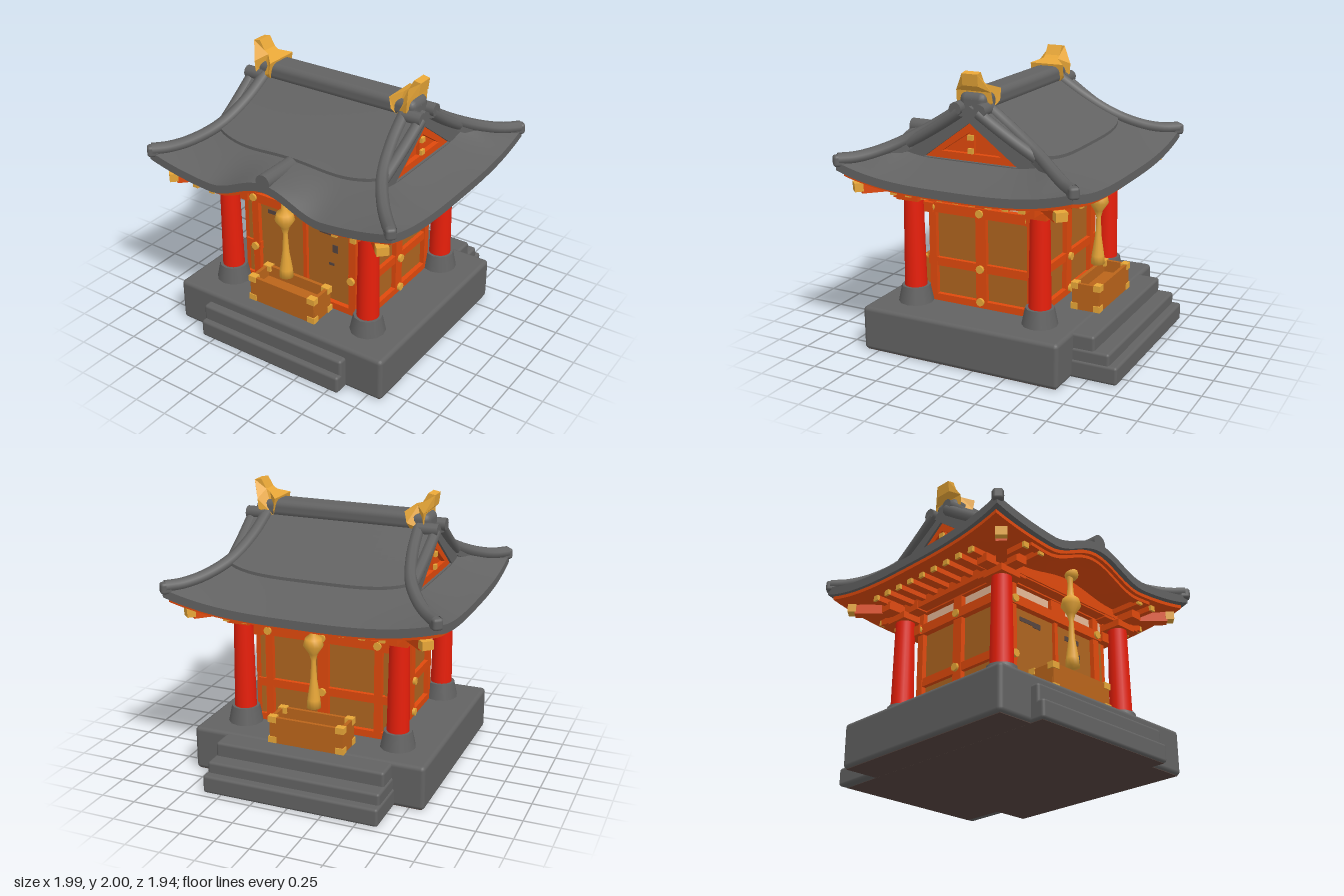
import * as THREE from 'three';
import { mergeGeometries } from 'three/addons/utils/BufferGeometryUtils.js';
import { RoundedBoxGeometry } from 'three/addons/geometries/RoundedBoxGeometry.js';

const mat = (name, color) => {
  const m = new THREE.MeshStandardMaterial({ color, side: THREE.DoubleSide });
  m.name = name;
  return m;
};
const grey = mat('slate grey', 0x626262);
const red = mat('post red', 0xf8220c);
const orange = mat('timber orange', 0xdf490c);
const brown = mat('panel brown', 0xae641f);
const boxWood = mat('box wood', 0xba641a);
const dark = mat('dark brown', 0x564540);
const gold = mat('gold', 0xeaa838);
const cream = mat('plaster cream', 0xe8ba98);

const ZC = 0.085; // depth of the roof ridge
const clamp = (v) => Math.min(1, Math.max(0, v));
const smooth = (a, b, v) => { const k = clamp((v - a) / (b - a)); return k * k * (3 - 2 * k); };

function add(parent, name, geo, material, x = 0, y = 0, z = 0) {
  const m = new THREE.Mesh(geo, material);
  m.name = name;
  m.position.set(x, y, z);
  parent.add(m);
  return m;
}
const box = (p, name, m, w, h, d, x, y, z) => add(p, name, new THREE.BoxGeometry(w, h, d), m, x, y, z);
const block = (p, name, m, w, h, d, x, y, z, r = 0.02) => add(p, name, new RoundedBoxGeometry(w, h, d, 2, r), m, x, y, z);

// Curved sheet from f(u, v) -> [x, y, z]
function grid(f, nu, nv) {
  const pos = [], idx = [];
  for (let j = 0; j <= nv; j++) for (let i = 0; i <= nu; i++) pos.push(...f(i / nu, j / nv));
  for (let j = 0; j < nv; j++) for (let i = 0; i < nu; i++) {
    const a = j * (nu + 1) + i, b = a + nu + 1;
    idx.push(a, b, a + 1, a + 1, b, b + 1);
  }
  const g = new THREE.BufferGeometry();
  g.setAttribute('position', new THREE.Float32BufferAttribute(pos, 3));
  g.setIndex(idx);
  g.computeVertexNormals();
  return g;
}
// Sheet with thickness, measured downwards
function slab(f, th, nu, nv) {
  const low = (u, v, k) => { const [x, y, z] = f(u, v); return [x, y - th * k, z]; };
  return mergeGeometries([
    grid(f, nu, nv), grid((u, v) => low(u, v, 1), nu, nv),
    grid((u, k) => low(u, 0, k), nu, 1), grid((u, k) => low(u, 1, k), nu, 1),
    grid((v, k) => low(0, v, k), nv, 1), grid((v, k) => low(1, v, k), nv, 1),
  ]);
}
function tube(p, name, pts, r, m) {
  const curve = new THREE.CatmullRomCurve3(pts.map((q) => new THREE.Vector3(...q)));
  return add(p, name, new THREE.TubeGeometry(curve, 24, r, 8), m);
}
// Flat shape given as [x, y] points, with optional hole, extruded along z
function plate(pts, depth, hole) {
  const s = new THREE.Shape(pts.map((q) => new THREE.Vector2(...q)));
  if (hole) s.holes.push(new THREE.Path(hole.map((q) => new THREE.Vector2(...q))));
  return new THREE.ExtrudeGeometry(s, { depth, bevelEnabled: false });
}

// Roof rules: t runs 0 at the ridge to 1 at the eave
const zAt = (t, s) => ZC + s * t * (s > 0 ? 0.86 : 0.875);
const tAt = (z) => Math.abs(z - ZC) / (z > ZC ? 0.86 : 0.875);
const halfWidth = (t) => 0.65 + 0.32 * clamp((t - 0.35) / 0.65) ** 1.7;
const corner = (x, z) => 0.1 * Math.abs(x / 0.97) ** 3 * tAt(z) ** 3;
const hump = (x) => (Math.abs(x) < 0.46 ? 0.14 * Math.cos((Math.PI * x) / 0.92) ** 2 : 0);
const eaveLift = (x, z) => corner(x, z) + hump(x) * smooth(0.4, 0.9, z);
const roofY = (x, z) => {
  const t = tAt(z);
  return 1.8 - 0.62 * t + 0.1 * t * t + corner(x, z) + hump(x) * clamp((z - 0.58) / 0.35);
};

function buildBase(g) {
  block(g, 'plinth', grey, 1.72, 0.32, 1.5, 0, 0.16, 0.11, 0.03);
  block(g, 'frontStep', grey, 1.18, 0.24, 0.3, -0.01, 0.12, 0.77);
  block(g, 'frontStepLower', grey, 1.18, 0.13, 0.3, -0.01, 0.065, 0.81);
  [[0.31, 0.79], [0.21, 0.9], [0.13, 0.96]].forEach(([h, z], i) =>
    block(g, 'backStep' + (i + 1), grey, 1.24 + i * 0.02, h, z - 0.5, -0.01, h / 2, -(z + 0.5) / 2));
  // dark underside
  box(g, 'underside', dark, 1.68, 0.006, 1.46, 0, 0.001, 0.11);
  box(g, 'undersideSteps', dark, 1.15, 0.006, 1.88, -0.01, 0.0005, 0);
}

function buildPosts(g) {
  for (const x of [-0.58, 0.58]) for (const z of [0.59, -0.38]) {
    add(g, 'postFoot', new THREE.CylinderGeometry(0.1, 0.125, 0.12, 12), grey, x, 0.38, z);
    add(g, 'post', new THREE.CylinderGeometry(0.067, 0.079, 0.72, 20), red, x, 0.79, z);
    // stepped bracket and diagonal corner beam
    box(g, 'bracketLower', orange, 0.17, 0.05, 0.17, x, 1.1, z);
    box(g, 'bracketArmX', orange, 0.36, 0.06, 0.09, x, 1.15, z);
    box(g, 'bracketArmZ', orange, 0.09, 0.06, 0.36, x, 1.15, z);
    const sx = Math.sign(x), sz = z > 0 ? 1 : -1;
    const beam = new THREE.Group();
    beam.name = 'cornerBeam';
    beam.position.set(x, 1.17, z);
    beam.rotation.y = Math.atan2(sx, sz);
    box(beam, 'cornerTimber', orange, 0.07, 0.07, 0.38, 0, 0.01, 0.17);
    box(beam, 'cornerCap', gold, 0.08, 0.06, 0.06, 0, 0.02, 0.38);
    g.add(beam);
  }
  for (const z of [0.59, -0.38]) box(g, 'headBeam', orange, 1.2, 0.08, 0.08, 0, 1.17, z);
  for (const x of [-0.58, 0.58]) box(g, 'headBeam', orange, 0.08, 0.08, 1, x, 1.17, 0.1);
}

// One wall facing +z
function buildWall(name, width, posts, isDoor) {
  const g = new THREE.Group();
  g.name = name;
  box(g, 'panel', brown, width, 0.66, 0.03, 0, 0.66, -0.02);
  box(g, 'plasterBand', cream, width, 0.1, 0.03, 0, 1.09, -0.02);
  box(g, 'topRail', orange, width + 0.1, 0.07, 0.08, 0, 1.01, 0);
  box(g, 'upperRail', orange, width, 0.08, 0.06, 0, 1.175, 0);
  box(g, 'sill', orange, width, 0.05, 0.06, 0, 0.345, 0);
  const stud = (x, y) => add(g, 'stud', new THREE.CylinderGeometry(0.029, 0.029, 0.02, 8).rotateX(Math.PI / 2), gold, x, y, 0.045);
  for (const x of posts) {
    box(g, 'stile', orange, x ? 0.055 : 0.08, 0.86, 0.06, x, 0.75, 0);
    stud(x, 1.01);
  }
  if (isDoor) {
    box(g, 'doorSplit', orange, 0.03, 0.62, 0.04, 0.01, 0.67, 0);
    box(g, 'centreStrut', orange, 0.14, 0.1, 0.05, 0.03, 1.09, 0);
    for (const s of [-1, 1]) {
      box(g, 'shortRail', orange, 0.13, 0.06, 0.05, s * 0.44, 0.61, 0);
      stud(s * 0.41, 0.61);
    }
    // worn patches on the doors
    const wear = [[-0.25, 0.905, 0.14, 0.03], [-0.16, 0.9, 0.07, 0.04], [0.19, 0.905, 0.14, 0.035], [0.25, 0.79, 0.04, 0.06], [0.22, 0.66, 0.04, 0.02]];
    for (const [x, y, w, h] of wear) box(g, 'doorWear', dark, w, h, 0.006, x, y, -0.004);
  } else {
    box(g, 'midRail', orange, width, 0.06, 0.05, 0, 0.61, 0);
    for (const y of [0.61, 0.37]) stud(0, y);
  }
  return g;
}

function buildWalls(g) {
  const place = (wall, x, z, r) => { wall.position.set(x, 0, z); wall.rotation.y = r; g.add(wall); };
  place(buildWall('frontWall', 1, [-0.41, 0.41], true), 0, 0.5, 0);
  place(buildWall('backWall', 1, [-0.41, 0, 0.41], false), 0, -0.3, Math.PI);
  for (const s of [-1, 1]) place(buildWall('sideWall', 0.82, [-0.38, 0, 0.38], false), s * 0.49, 0.1, s * Math.PI / 2);
}

function buildEaves(g) {
  const soffit = (u, v) => {
    const x = -0.94 + 1.88 * u, z = -0.765 + 1.67 * v;
    return [x, 1.225 + eaveLift(x, z), z];
  };
  add(g, 'soffit', slab(soffit, 0.025, 32, 24), orange);
  // arched board and infill under the front curve
  const arch = (u, v) => { const x = -0.6 + 1.2 * u; return [x, 1.22 + eaveLift(x, 0.9), 0.83 + 0.05 * v]; };
  add(g, 'archBoard', slab(arch, 0.045, 32, 1), orange);
  const top = Array.from({ length: 17 }, (_, i) => { const x = 0.5 - i / 16; return [x, 1.22 + eaveLift(x, 0.64)]; });
  add(g, 'archInfill', plate([[-0.5, 1.14], [0.5, 1.14], ...top], 0.03), orange, 0, 0, 0.61);
  // rafters with gold tips
  const rafter = (x, z, r) => {
    const a = new THREE.Group();
    a.name = 'rafter';
    a.position.set(x, 1.185, z);
    a.rotation.y = r;
    box(a, 'rafterTimber', orange, 0.04, 0.04, 0.26, 0, 0, 0.13);
    box(a, 'rafterTip', gold, 0.042, 0.038, 0.02, 0, 0, 0.265);
    g.add(a);
  };
  for (let i = -4; i <= 4; i++) {
    for (const s of [-1, 1]) rafter(s * 0.58, 0.1 + i * 0.12, s * Math.PI / 2);
    rafter(i * 0.14, -0.4, Math.PI);
  }
  for (const s of [-1, 1]) for (const x of [0.5, 0.64]) rafter(s * x, 0.6, 0);
}

function buildRoof(g) {
  for (const s of [-1, 1]) {
    // lower and upper tile courses of the front or back slope
    const slope = (t1, rise) => (u, v) => {
      const t = t1 * v, z = zAt(t, s), x = (2 * u - 1) * halfWidth(t);
      return [x, roofY(x, z) + rise, z];
    };
    // the upper course ends in a shallow curve
    const upper = (u, v) => slope(0.65 - 0.1 * (2 * u - 1) ** 4, 0.022)(u, v);
    add(g, 'roofSlope', slab(slope(1, 0), 0.06, 40, 20), grey);
    add(g, 'upperTiles', slab(upper, 0.035, 24, 10), grey);

    // side skirt below the gable
    const skirt = (u, v) => {
      const z = -0.79 + 1.735 * u, t = tAt(z), w = halfWidth(t) - 0.02;
      const x = w + (0.97 - w) * v, yi = Math.min(1.43, roofY(w, z));
      const yo = 1.28 + corner(0.97, z);
      return [s * x, yi + (yo - yi) * (1.25 * v - 0.25 * v * v), z];
    };
    add(g, 'sideSkirt', slab(skirt, 0.06, 32, 6), grey);

    // gable: grey verge, timber frame, recessed panel
    const gable = new THREE.Group();
    gable.name = 'gable';
    gable.position.set(s * 0.6, 0, ZC);
    gable.rotation.y = s * Math.PI / 2;
    const tri = (w, base, apex) => [[-w, base], [w, base], [0, apex]];
    add(gable, 'verge', plate(tri(0.62, 1.4, 1.78), 0.08, tri(0.35, 1.41, 1.67)), grey);
    add(gable, 'gableFrame', plate(tri(0.36, 1.4, 1.675), 0.065, tri(0.22, 1.46, 1.61)), orange);
    add(gable, 'gablePanel', plate(tri(0.3, 1.41, 1.64), 0.03), orange);
    box(gable, 'gableStrut', orange, 0.04, 0.16, 0.03, 0, 1.53, 0.04);
    for (const y of [1.57, 1.48]) box(gable, 'gableStud', gold, 0.04, 0.035, 0.02, 0, y, 0.065);
    g.add(gable);

    for (const f of [-1, 1]) {
      // tile ridges running down to the corners, and along the verge
      const hip = [[0.565, 0.08], [0.59, 0.31], [0.655, 0.55], [0.77, 0.75], [0.875, 0.89], [0.955, 0.99]];
      const pts = hip.map(([x, t]) => [s * x, roofY(x, zAt(t, f)) + 0.02, zAt(t, f)]);
      tube(g, 'hipRidge', pts, 0.042, grey);
      const edge = [0.08, 0.25, 0.4, 0.55].map((t) => [s * (0.685 - 0.04 * t), roofY(0.68, zAt(t, f)) - 0.01, zAt(t, f)]);
      tube(g, 'vergeRidge', edge, 0.04, grey);
      const tip = block(g, 'cornerTile', grey, 0.07, 0.08, 0.08, s * 0.95, 1.385, zAt(0.985, f));
      tip.rotation.y = s * f * Math.PI / 4;
      const end = new THREE.CylinderGeometry(0.045, 0.045, 0.14, 10).rotateZ(Math.PI / 2);
      add(g, 'ridgeEndTile', end, grey, s * 0.64, 1.76, ZC + f * 0.09);
    }

    // gold ridge ornament: profile with an outward horn, its depth set by height
    const profile = [[0.51, 1.75], [0.6, 1.75], [0.61, 1.8], [0.615, 1.87], [0.66, 1.91], [0.67, 1.99],
      [0.62, 2], [0.58, 1.93], [0.55, 1.91], [0.48, 1.88], [0.495, 1.8]];
    const ornament = plate(profile.map(([x, y]) => [s * x, y]), 1).translate(0, 0, -0.5).toNonIndexed();
    const p = ornament.attributes.position;
    for (let i = 0; i < p.count; i++) {
      const y = p.getY(i);
      const depth = y < 1.78 ? 0.18 : y < 1.89 ? 0.26 : 0.115;
      p.setZ(i, p.getZ(i) * depth);
    }
    ornament.computeVertexNormals();
    add(g, 'ridgeOrnament', ornament, gold, 0, 0, ZC);
  }
  block(g, 'ridge', grey, 1.3, 0.13, 0.2, 0, 1.8, ZC, 0.05);
  // level tile ridge on the front curve
  const cap = new THREE.CylinderGeometry(0.055, 0.055, 0.34, 14).rotateX(Math.PI / 2);
  add(g, 'curveRidge', cap, grey, 0, 1.432, 0.775);
}

function buildOffering(g, z, ropeZ, knotY) {
  // open box with gold corners
  const b = new THREE.Group();
  b.name = 'offeringBox';
  b.position.set(-0.02, 0.32, z);
  for (const f of [-1, 1]) {
    box(b, 'boxLongSide', boxWood, 0.54, 0.19, 0.025, 0, 0.1, f * 0.09);
    box(b, 'boxShortSide', boxWood, 0.025, 0.19, 0.19, f * 0.26, 0.1, 0);
    for (const k of [-1, 1]) for (const y of [0.03, 0.18])
      box(b, 'boxCorner', gold, 0.06, 0.045, 0.05, f * 0.25, y, k * 0.084);
  }
  box(b, 'boxFloor', boxWood, 0.52, 0.02, 0.18, 0, 0.1, 0);
  g.add(b);
  // bell with rope and tassel
  const profile = [[0.001, 0.57], [0.05, 0.58], [0.045, 0.64], [0.024, 0.78], [0.016, 0.92], [0.03, 0.97],
    [0.07, 1.03], [0.058, 1.08], [0.025, 1.11], [0.018, 1.2], [0.025, 1.25]];
  add(g, 'bellRope', new THREE.LatheGeometry(profile.map((q) => new THREE.Vector2(...q)), 12), gold, -0.025, 0, ropeZ);
  add(g, 'ropeKnot', new THREE.SphereGeometry(0.05, 10, 8), gold, -0.01, knotY, ropeZ);
}

export function createModel() {
  const model = new THREE.Group();
  model.name = 'shrine';
  const parts = { base: buildBase, posts: buildPosts, walls: buildWalls, eaves: buildEaves, roof: buildRoof };
  for (const [name, build] of Object.entries(parts)) {
    const g = new THREE.Group();
    g.name = name;
    build(g);
    model.add(g);
  }
  buildOffering(model, 0.66, 0.69, 1.28);
  buildOffering(model, -0.57, -0.54, 1.2);
  return model;
}
